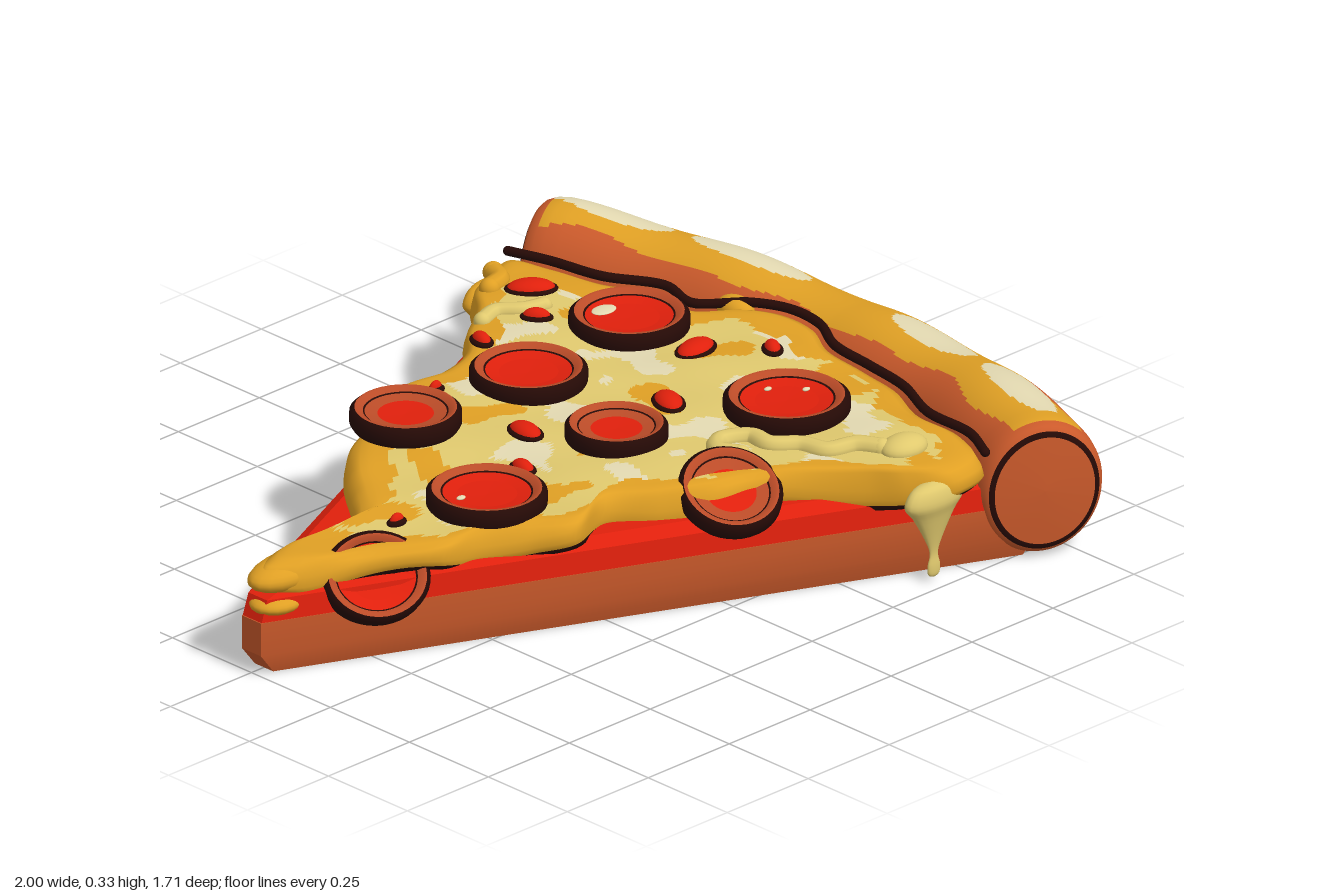
import * as THREE from 'three';
import { toCreasedNormals } from 'three/addons/utils/BufferGeometryUtils.js';

const flat = (name, color) => Object.assign(new THREE.MeshStandardMaterial({ color }), { name });
const M = {
  crust: flat('baked crust', 0xcb5a2b),
  gold: flat('golden cheese', 0xe0a024),
  cheese: flat('pale cheese', 0xe0c96e),
  cream: flat('cream', 0xe4dab2),
  red: flat('red', 0xe0200c),
  rim: flat('pepperoni rim', 0xbc4c28),
  dark: flat('dark outline', 0x260a06),
};
const V = (x, y, z) => new THREE.Vector3(x, y, z);

// Skin between closed rings of points; pick(i, j) chooses a material slot per quad.
function loft(rings, slots = 1, pick = () => 0) {
  const n = rings[0].length, lists = Array.from({ length: slots }, () => []);
  for (let i = 0; i < rings.length - 1; i++)
    for (let j = 0; j < n; j++) {
      const k = (j + 1) % n, a = i * n + j, b = i * n + k, c = b + n, d = a + n;
      lists[pick(i, j)].push(a, b, c, a, c, d);
    }
  const geo = new THREE.BufferGeometry().setFromPoints(rings.flat());
  geo.setIndex(lists.flat());
  let start = 0;
  if (slots > 1) lists.forEach((l, s) => { geo.addGroup(start, l.length, s); start += l.length; });
  geo.computeVertexNormals();
  return geo;
}

// Closed outline of the cheese, seen from above as [x, z].
const cheesePts = [[-0.985, 0], [-0.9, -0.045], [-0.78, -0.04], [-0.65, -0.042], [-0.57, -0.13], [-0.5, -0.22],
  [-0.39, -0.32], [-0.27, -0.365], [-0.2, -0.42], [-0.1, -0.455], [0, -0.435], [0.1, -0.46], [0.18, -0.54],
  [0.28, -0.61], [0.35, -0.69], [0.43, -0.725], [0.52, -0.75], [0.55, -0.65], [0.57, -0.5], [0.645, -0.38],
  [0.63, -0.28], [0.71, -0.18], [0.75, -0.09], [0.75, 0], [0.7, 0.1], [0.69, 0.22], [0.66, 0.36], [0.6, 0.5],
  [0.59, 0.64], [0.55, 0.73], [0.45, 0.75], [0.37, 0.69], [0.31, 0.62], [0.2, 0.52], [0.1, 0.46], [0, 0.43],
  [-0.1, 0.37], [-0.2, 0.3], [-0.33, 0.34], [-0.42, 0.28], [-0.52, 0.22], [-0.62, 0.2], [-0.8, 0.1], [-0.93, 0.05]];
const noise = (x, z) => Math.sin(9 * x + 4 * z + 1) * Math.sin(8 * z - 5 * x) + 0.6 * Math.sin(19 * x - 7 * z) * Math.sin(17 * z + 6 * x);
const topY = (x, z) => 0.25 + 0.022 * THREE.MathUtils.smoothstep(x, -0.8, 0.3) + 0.005 * noise(x, z);

export function createModel() {
  const pizza = new THREE.Group();
  pizza.name = 'pizzaSlice';
  const add = (name, geo, mat, parent = pizza) => {
    const mesh = new THREE.Mesh(geo, mat);
    mesh.name = name;
    parent.add(mesh);
    return mesh;
  };
  const blob = (name, mat, [x, y, z], [sx, sy, sz], parent = pizza) => {
    const mesh = add(name, new THREE.SphereGeometry(1, 20, 14), mat, parent);
    mesh.position.set(x, y, z);
    mesh.scale.set(sx, sy, sz);
    return mesh;
  };

  // Dough wedge and sauce layer share one outline
  const wedge = [[-1, -0.03], [-1, 0.03]];
  for (let i = 0; i <= 16; i++) {
    const t = 0.44 - 0.055 * i;
    wedge.push([-1 + 1.83 * Math.cos(t), 1.83 * Math.sin(t)]);
  }
  const layers = rows => toCreasedNormals(loft(rows.map(([s, y]) => wedge.map(([x, z]) => V(0.3 + (x - 0.3) * s, y, z * s)))), 0.4);
  add('doughBase', layers([[0, 0], [0.97, 0], [1, 0.05], [1, 0.13], [0, 0.13]]), M.crust);
  add('sauce', layers([[0.998, 0.13], [0.985, 0.18], [0.93, 0.2], [0, 0.2]]), M.red);

  // Crust roll: arc about the tip, with rounded ends
  const END = 0.452;
  const crustPoint = (t, a, s) => {
    const h = 0.142 + 0.025 * Math.pow(Math.abs(t) / END, 1.3) + 0.003 * Math.sin(t * 27);
    const r = 1.85 + s * 0.15 * Math.cos(a), y = h + s * h * Math.sin(a);
    return V(-1 + r * Math.cos(t), y, r * Math.sin(t));
  };
  const NA = 144, NT = 200;
  const ring = (t, s) => Array.from({ length: NA }, (_, j) => crustPoint(t, j / NA * Math.PI * 2, s));
  const ends = [[0, 0], [0.002, 0.78], [0.005, 0.86], [0.01, 0.92], [0.02, 0.97], [0.034, 0.995]];
  const rows = ends.map(([d, s]) => [-END + d, s]);
  for (let i = 0; i <= NT; i++) rows.push([(i / NT * 2 - 1) * (END - 0.05), 1]);
  rows.push(...ends.map(([d, s]) => [END - d, s]).reverse());
  const spots = [[-0.355, 0.075], [-0.17, 0.085], [0.132, 0.075], [0.325, 0.085]];
  const crustSlot = (i, j) => {
    const t = (rows[i][0] + rows[i + 1][0]) / 2, a = (j + 0.5) / NA * 360;
    if (i === 1 || i === rows.length - 3) return 3;
    if (spots.some(([c, w]) => ((t - c) / w) ** 2 + ((a - 75) / 20) ** 2 < 1)) return 2;
    const w = 4 * Math.sin(t * 23) + 3 * Math.sin(t * 41 + 1);
    return Math.abs(t) < END - 0.025 && a > 50 + w && a < 118 + w ? 1 : 0;
  };
  add('crustRoll', loft(rows.map(([t, s]) => ring(t, s)), 4, crustSlot), [M.crust, M.gold, M.cream, M.dark]);

  // Melted cheese sheet: dark lower lip, golden edge, mottled inside
  const curve = new THREE.CatmullRomCurve3(cheesePts.map(([x, z]) => V(x, 0, z)).reverse(), true);
  const edge = curve.getPoints(352).slice(0, -1);
  const profile = [[0.95, 0.182], [0.972, 0.18], [0.988, 0.193], [1, 0.208], [0.993, 0.23], [0.972, -0.01], [0.94, -0.002]];
  for (let i = 0; i <= 40; i++) profile.push([0.91 * (1 - i / 40), 0]);
  const sheet = profile.map(([s, y]) => edge.map(p => {
    const x = 0.15 + (p.x - 0.15) * s, z = p.z * s;
    return V(x, y > 0.1 ? y + 0.012 * Math.sin(p.x * 16) : topY(x, z) + y, z);
  }));
  const cheeseSlot = (i, j) => {
    if (i < 2) return 3;
    const p = sheet[i][j], s = profile[i][0], n = noise(p.x * 1.6, p.z * 1.6);
    if (i < 6 || p.x < -0.72 || s > (p.z < 0 ? 0.85 : 0.89) + 0.06 * n) return 0;
    return n > 0.68 ? 0 : n < -0.55 ? 2 : 1;
  };
  add('cheeseSheet', loft(sheet, 4, cheeseSlot), [M.gold, M.cheese, M.cream, M.dark]);
  blob('cheeseTip', M.gold, [-0.88, 0.213, 0], [0.12, 0.038, 0.06]);
  blob('cheeseTipFold', M.gold, [-0.93, 0.158, 0.01], [0.07, 0.025, 0.055]);
  blob('cheeseBlob', M.gold, [0.7, 0.255, -0.21], [0.035, 0.03, 0.05]);

  // Round-ended tubes lying on the surface: seam at the crust and melted strands
  const tube = (name, pts, r, mat) => {
    const path = pts.map(([x, z]) => V(x, topY(x, z), z));
    add(name, new THREE.TubeGeometry(new THREE.CatmullRomCurve3(path), pts.length * 8, r, 10), mat);
    for (const p of [path[0], path[path.length - 1]]) blob(name + 'End', mat, p.toArray(), [r, r, r]);
  };
  tube('crustSeam', cheesePts.slice(16, 30).map(([x, z]) => [x + 0.004, z]), 0.011, M.dark);
  tube('frontStrand', [[0.16, 0.36], [0.14, 0.31], [0.18, 0.275], [0.24, 0.31], [0.24, 0.37], [0.29, 0.42],
    [0.31, 0.48], [0.37, 0.51], [0.4, 0.56]], 0.024, M.cheese);
  blob('frontStrandLobe', M.cheese, [0.44, topY(0.44, 0.59), 0.59], [0.06, 0.03, 0.045]);
  tube('backStrand', [[0.23, -0.53], [0.28, -0.54], [0.33, -0.5], [0.38, -0.49]], 0.02, M.cheese);
  tube('backEdgeStrand', [[0.36, -0.64], [0.41, -0.66], [0.43, -0.7]], 0.024, M.gold);

  // Drips hanging over the sides near the crust
  const dripShape = [[0, 0.01], [0.016, 0.018], [0.018, 0.04], [0.012, 0.07], [0.028, 0.11], [0.06, 0.165], [0.085, 0.2], [0.06, 0.235], [0, 0.245]];
  const dripGeo = new THREE.LatheGeometry(new THREE.SplineCurve(dripShape.map(p => new THREE.Vector2(...p))).getPoints(32), 20);
  for (const [name, x, z, mat] of [['frontDrip', 0.41, 0.715, M.cheese], ['backDrip', 0.44, -0.715, M.gold]]) {
    const drip = add(name, dripGeo, mat);
    drip.scale.z = 0.4;
    drip.position.set(x, 0, z);
  }

  // Pepperoni: dark side, baked rim, dished face; tilt leans it over the front side
  const lathe = (r, pts) => new THREE.LatheGeometry(pts.map(([x, y]) => new THREE.Vector2(x * r, y)), 40);
  function pepperoni(x, y, z, r, baked = false, tilt = 0, depth = 1) {
    const g = new THREE.Group();
    g.name = 'pepperoni';
    add('pepperoniSide', lathe(r, [[0.94, -0.012], [1, 0], [1, 0.026], [0.91, 0.036]]), M.dark, g);
    add('pepperoniRim', lathe(r, [[0.91, 0.036], [0.85, 0.036], [0.76, 0.027]]), M.rim, g);
    add('pepperoniCrease', lathe(r, [[0.76, 0.027], [0.73, 0.025]]), M.dark, g);
    add('pepperoniFace', lathe(r, [[0.73, 0.025], [0.5, 0.02]]), baked ? M.rim : M.red, g);
    add('pepperoniCentre', lathe(r, [[0.5, 0.02], [0, 0.018]]), M.red, g);
    g.position.set(x, y, z);
    g.rotation.set(tilt, -0.43, 0, 'YXZ');
    g.scale.z = depth;
    pizza.add(g);
  }
  for (const [x, z, r, baked, lift = 0] of [[-0.26, -0.27, 0.125, true, 0.015], [0.1, -0.25, 0.132], [0.45, -0.29, 0.135],
    [-0.39, 0.12, 0.135], [0.03, 0.1, 0.115, true], [0.4, 0.26, 0.142]])
    pepperoni(x, topY(x, z) + lift, z, r, baked);
  pepperoni(0.06, 0.225, 0.425, 0.118, true, 0.5);
  pepperoni(-0.73, 0.175, 0.11, 0.125, false, 0.85, 0.85);

  // Pale glints
  for (const [x, z, r] of [[0.43, -0.35, 0.032], [-0.45, 0.1, 0.012], [0.4, 0.2, 0.01], [0.46, 0.26, 0.01]])
    blob('pepperoniGlint', M.cream, [x, topY(x, z) + 0.024, z], [r, 0.004, r * 0.7]);

  // Scattered pepper bits
  for (const [x, z, r, turn] of [[0.42, -0.57, 0.055, -0.7], [0.15, -0.45, 0.03, 1.3], [0.32, -0.45, 0.032, -0.9],
    [-0.1, -0.055, 0.047, 1.4], [0.46, -0.09, 0.055, 0.2], [0.23, 0.06, 0.05, 1.1], [-0.22, 0.06, 0.033, 1.4],
    [0.58, 0.03, 0.03, 1], [-0.09, -0.35, 0.018, 0], [-0.6, 0.05, 0.02, 0]]) {
    const bit = new THREE.Group();
    bit.name = 'pepperBit';
    blob('pepperFlesh', M.red, [0, 0, 0], [r, 0.022, r * 0.62], bit);
    blob('pepperShade', M.dark, [0, 0, 0], [r + 0.006, 0.011, r * 0.62 + 0.006], bit);
    bit.position.set(x, topY(x, z) + 0.003, z);
    bit.rotation.y = turn;
    pizza.add(bit);
  }
  return pizza;
}
